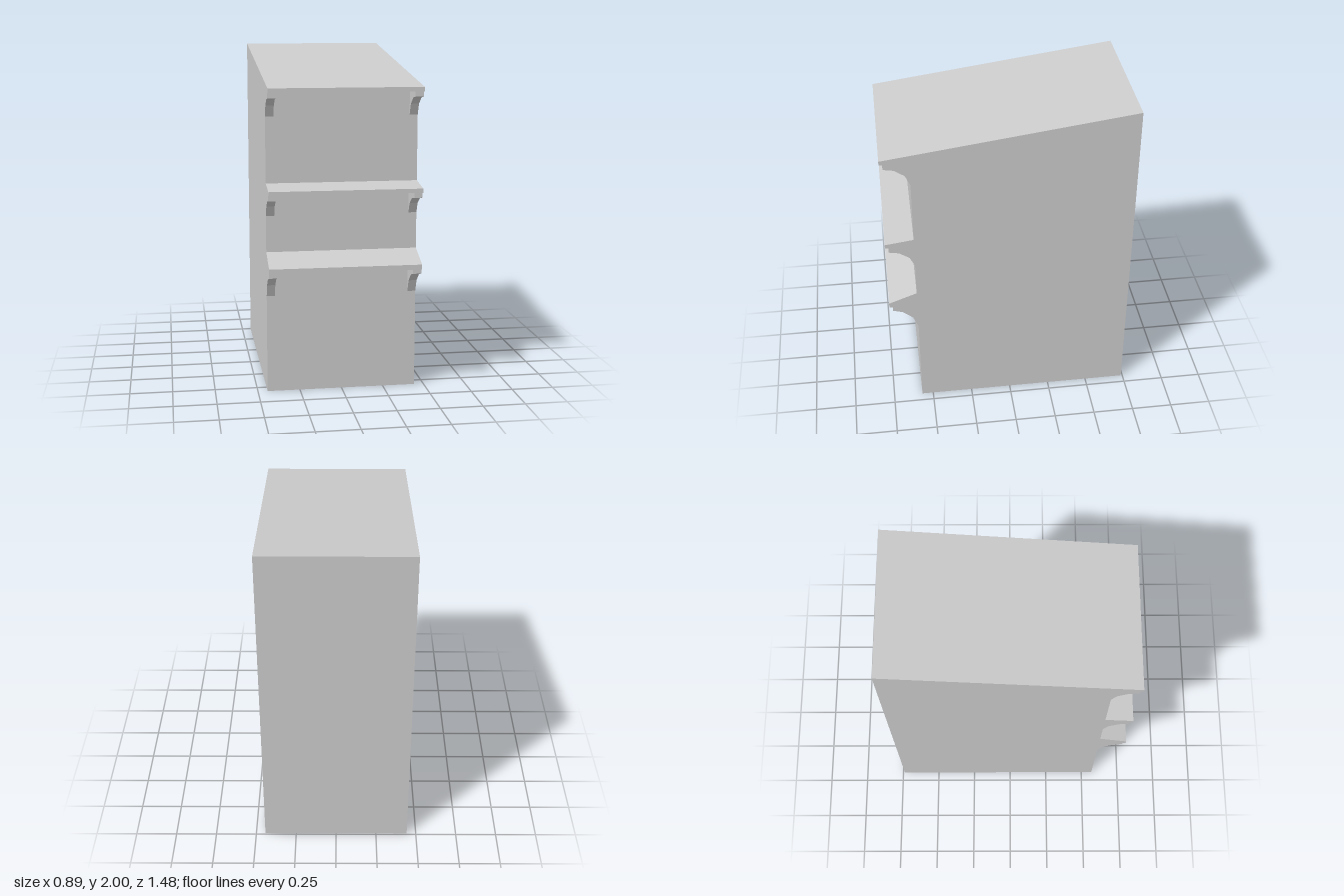
import * as THREE from 'three';

const HALF = 0.443;    // half width of the cabinet
const INNER = 0.395;   // inner face of the corner brackets
const FRONT = 0.57, BACK = -0.74, LIP = 0.74;

// Each ledge: y of the slope where it meets the wall above, lip top, lip bottom,
// then heights of the bracket curve going down.
const ledges = [
  { wall: 0.842, top: 0.778, bottom: 0.748, curve: [0.72, 0.702, 0.652, 0.58] },
  { wall: 1.245, top: 1.222, bottom: 1.198, curve: [1.166, 1.155, 1.115, 1.055] },
  { wall: null, top: 1.80, bottom: 1.775, curve: [1.744, 1.734, 1.694, 1.63] },
];
const curveZ = [0.72, 0.66, 0.60, FRONT];

// Bracket curve as [z, y] points, from the wall up to the lip
const bracketPoints = (l) =>
  [...curveZ.map((z, i) => [z, l.curve[i]]).reverse(), [0.72, l.bottom]];

export function createModel() {
  const group = new THREE.Group();
  const material = new THREE.MeshStandardMaterial({
    color: 0xcccccc, flatShading: true, side: THREE.DoubleSide,
  });

  const add = (name, geometry) => {
    const mesh = new THREE.Mesh(geometry, material);
    mesh.name = name;
    group.add(mesh);
  };

  // Sweep a [z, y] polyline across x; an upward line faces the front
  const strip = (name, points, x0 = -HALF, x1 = HALF) => {
    const pos = [];
    for (let i = 0; i < points.length - 1; i++) {
      const [pz, py] = points[i], [qz, qy] = points[i + 1];
      pos.push(x0, py, pz, x1, py, pz, x1, qy, qz);
      pos.push(x0, py, pz, x1, qy, qz, x0, qy, qz);
    }
    const g = new THREE.BufferGeometry();
    g.setAttribute('position', new THREE.Float32BufferAttribute(pos, 3));
    g.computeVertexNormals();
    add(name, g);
  };

  // Flat [z, y] outline standing at x, facing +x or -x
  const plate = (name, points, x, facing) => {
    const shape = new THREE.Shape(points.map(([z, y]) => new THREE.Vector2(-z * facing, y)));
    const g = new THREE.ShapeGeometry(shape);
    g.rotateY(facing * Math.PI / 2);
    g.translate(x, 0, 0);
    add(name, g);
  };

  const outline = [[BACK, 0], [FRONT, 0]];
  let wallStart = 0;
  for (const l of ledges) {
    const curve = bracketPoints(l);
    const lip = [[LIP, l.bottom], [LIP, l.top]];
    if (l.wall !== null) lip.push([FRONT, l.wall]);
    outline.push(...curve, ...lip);

    // Front wall: full width below the brackets, narrower between them
    const bracketFoot = l.curve[3];
    strip('frontWall', [[FRONT, wallStart], [FRONT, bracketFoot]]);
    strip('frontWallUpper', [[FRONT, bracketFoot], [FRONT, l.bottom]], -INNER, INNER);

    // Ledge underside, lip and sloping top
    strip('ledge', [[0.72, l.bottom], ...lip]);
    strip('ledgeUnderside', [[FRONT, l.bottom], [0.72, l.bottom]], -INNER, INNER);

    // Curved corner brackets with their inner faces
    for (const s of [-1, 1]) {
      const [a, b] = s < 0 ? [-HALF, -INNER] : [INNER, HALF];
      strip('bracketCurve', curve, a, b);
      plate('bracketInnerFace', [...curve, [FRONT, l.bottom]], s * INNER, -s);
    }
    wallStart = l.wall;
  }
  outline.push([BACK, 2]);

  // Roof, back and sides; the bottom stays open
  strip('roof', [[LIP, 1.80], [BACK, 2]]);
  strip('backWall', [[BACK, 2], [BACK, 0]]);
  plate('leftSide', outline, HALF, 1);
  plate('rightSide', outline, -HALF, -1);

  return group;
}
